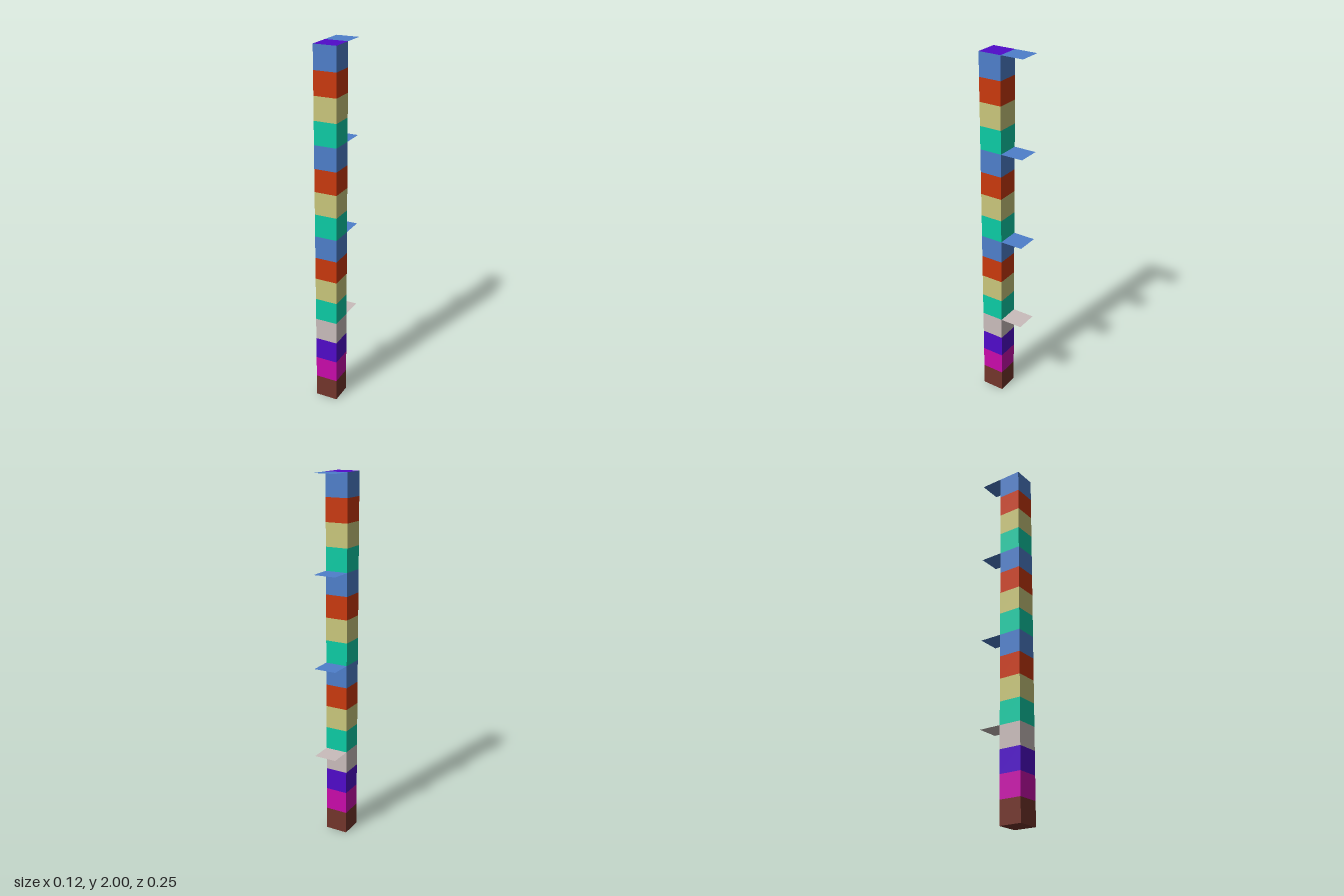
import * as THREE from 'three';

const SIZE = 0.125; // edge of one block

function paint(name, color) {
  const material = new THREE.MeshStandardMaterial({ color, side: THREE.DoubleSide });
  material.name = name;
  return material;
}

export function createModel() {
  const brown = paint('brown', 0x73352b);
  const magenta = paint('magenta', 0xca0bab);
  const purple = paint('purple', 0x500bca);
  const pale = paint('pale pink', 0xcabdbc);
  const teal = paint('teal', 0x0ccca5);
  const khaki = paint('khaki', 0xcac77c);
  const red = paint('red', 0xca390d);
  const blue = paint('blue', 0x4e7fcb);

  const model = new THREE.Group();
  model.name = 'blockColumn';

  // Column of stacked blocks, bottom to top
  const upper = [teal, khaki, red, blue];
  const colours = [brown, magenta, purple, pale, ...upper, ...upper, ...upper];
  const blockGeometry = new THREE.BoxGeometry(SIZE, SIZE, SIZE);
  const flapGeometry = new THREE.PlaneGeometry(SIZE, SIZE).rotateX(-Math.PI / 2);

  colours.forEach((colour, i) => {
    const isTop = i === colours.length - 1;
    // The topmost block carries a purple cap face
    const material = isTop ? [colour, colour, purple, colour, colour, colour] : colour;
    const block = new THREE.Mesh(blockGeometry, material);
    block.name = `block${i + 1}`;
    block.position.set(0, (i + 0.5) * SIZE, SIZE / 2);
    model.add(block);

    // Every fourth block has a flat flap reaching back from its top edge
    if (i % 4 === 3) {
      const flap = new THREE.Mesh(flapGeometry, colour);
      flap.name = `flap${(i + 1) / 4}`;
      flap.position.set(0, (i + 1) * SIZE, -SIZE / 2);
      model.add(flap);
    }
  });

  return model;
}
